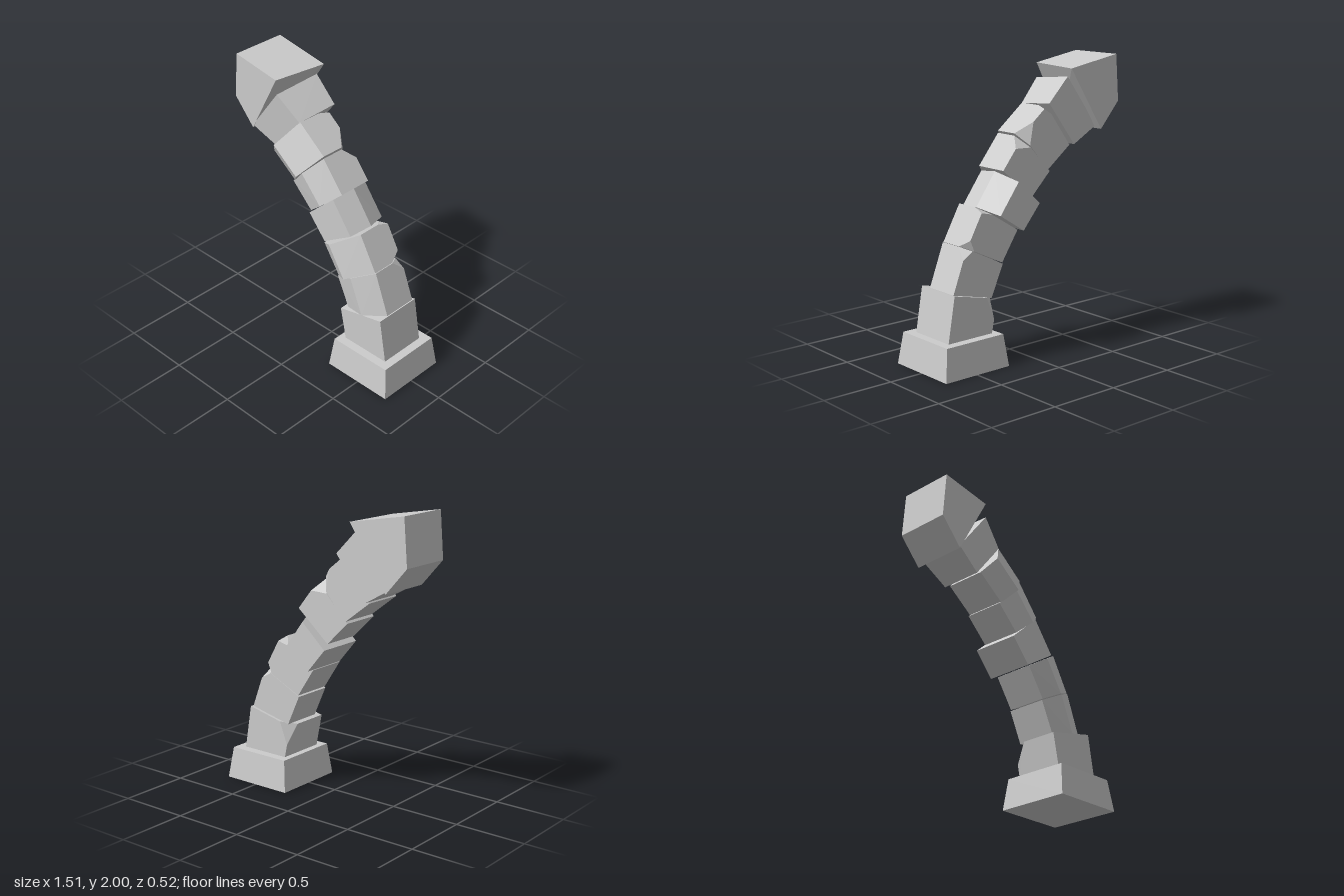
import * as THREE from 'three';
import { ConvexGeometry } from 'three/addons/geometries/ConvexGeometry.js';

const material = new THREE.MeshStandardMaterial({ color: 0xcccccc, flatShading: true });

// A hewn stone: the convex hull of points [u, v, z] placed in a side profile.
// u runs from inner (0) to outer (1), v from bottom (0) to top (1).
// Profile corners: inner bottom, outer bottom, outer top, inner top.
function stone(name, [ib, ob, ot, it], points) {
  const mix = (a, b, t) => a + (b - a) * t;
  const place = ([u, v, z]) => new THREE.Vector3(
    mix(mix(ib[0], ob[0], u), mix(it[0], ot[0], u), v),
    mix(mix(ib[1], ob[1], u), mix(it[1], ot[1], u), v), z);
  const mesh = new THREE.Mesh(new ConvexGeometry(points.map(place)), material);
  mesh.name = name;
  return mesh;
}

// The same cross-section [u, z] at bottom and top
const prism = (section) => [0, 1].flatMap((v) => section.map(([u, z]) => [u, v, z]));

// Outer back corner, optionally chipped by du across and dv along the stone
function backCorner(v, z, chip) {
  if (!chip) return [[1, v, z]];
  const [du, dv] = chip;
  return [[1, v, -0.07], [1, v ? 1 - dv : dv, z], [1 - du, v, z]];
}

// Stone with a ridge down its front and chipped outer back corners
function ridged(name, profile, { u, ridge, inner = 0.135, outer = 0.095, back = -0.153, low, high }) {
  return stone(name, profile, [
    ...prism([[0, inner], [u, ridge], [1, outer], [0, back]]),
    ...backCorner(0, back, low), ...backCorner(1, back, high),
  ]);
}

export function createModel() {
  const group = new THREE.Group();
  group.name = 'curvedStonePillar';

  // Tapered plinth
  group.add(stone('plinth', [[0.23, 0], [0.755, 0], [0.725, 0.22], [0.257, 0.22]], [
    [0, 0, 0.262], [1, 0, 0.262], [1, 0, -0.262], [0, 0, -0.262],
    [0, 1, 0.235], [1, 1, 0.235], [1, 1, -0.235], [0, 1, -0.235],
  ]));

  // Lowest stone, chipped at its inner back top corner
  group.add(stone('footStone', [[0.302, 0.22], [0.665, 0.22], [0.612, 0.53], [0.255, 0.45]], [
    [0, 0, 0.173], [1, 0, 0.173], [1, 0, -0.173], [0, 0, -0.173],
    [0, 1, 0.173], [1, 1, 0.173], [1, 1, -0.173],
    [0, 1, -0.09], [0.25, 1, -0.173], [0, 0.4, -0.173],
  ]));

  // Curving shaft
  group.add(ridged('shaftStone1', [[0.288, 0.455], [0.605, 0.53], [0.495, 0.82], [0.19, 0.67]],
    { u: 0.5, ridge: 0.175, high: [0.17, 0.25] }));
  group.add(ridged('shaftStone2', [[0.195, 0.68], [0.49, 0.82], [0.355, 1.06], [0.063, 0.88]],
    { u: 0.37, ridge: 0.203, low: [0.2, 0.2], high: [0.25, 0.1] }));
  group.add(stone('shaftStone3', [[0.06, 0.885], [0.322, 1.05], [0.162, 1.27], [-0.08, 1.05]],
    prism([[0, 0.13], [0.9, 0.13], [1, -0.04], [0.76, -0.213], [0, -0.213]])));
  group.add(ridged('shaftStone4', [[-0.06, 1.08], [0.185, 1.29], [0.02, 1.495], [-0.222, 1.24]],
    { u: 0.5, ridge: 0.177, high: [0.3, 0.35] }));
  group.add(ridged('shaftStone5', [[-0.205, 1.25], [0.02, 1.51], [-0.193, 1.68], [-0.402, 1.4]],
    { u: 0.38, ridge: 0.213, low: [0.3, 0.45], high: [0.2, 0.1] }));

  // Neck below the capstone, widening upward
  group.add(stone('neckStone', [[-0.4, 1.41], [-0.172, 1.705], [-0.335, 1.87], [-0.6, 1.52]], [
    [0, 0, 0.1], [0.9, 0, 0.1], [1, 0, -0.202], [0, 0, -0.202],
    [0, 1, 0.138], [0.9, 1, 0.138], [1, 1, -0.202], [0, 1, -0.202],
  ]));

  // Five-sided capstone, its outer edge skewed toward the back
  const cap = [[-0.735, 2], [-0.76, 1.68], [-0.6, 1.5]];
  const capPoints = [0.14, -0.255].flatMap((z) => cap.map(([x, y]) => new THREE.Vector3(x, y, z)));
  capPoints.push(new THREE.Vector3(-0.365, 1.937, 0.14), new THREE.Vector3(-0.32, 1.928, -0.255));
  const capstone = new THREE.Mesh(new ConvexGeometry(capPoints), material);
  capstone.name = 'capstone';
  group.add(capstone);

  return group;
}
